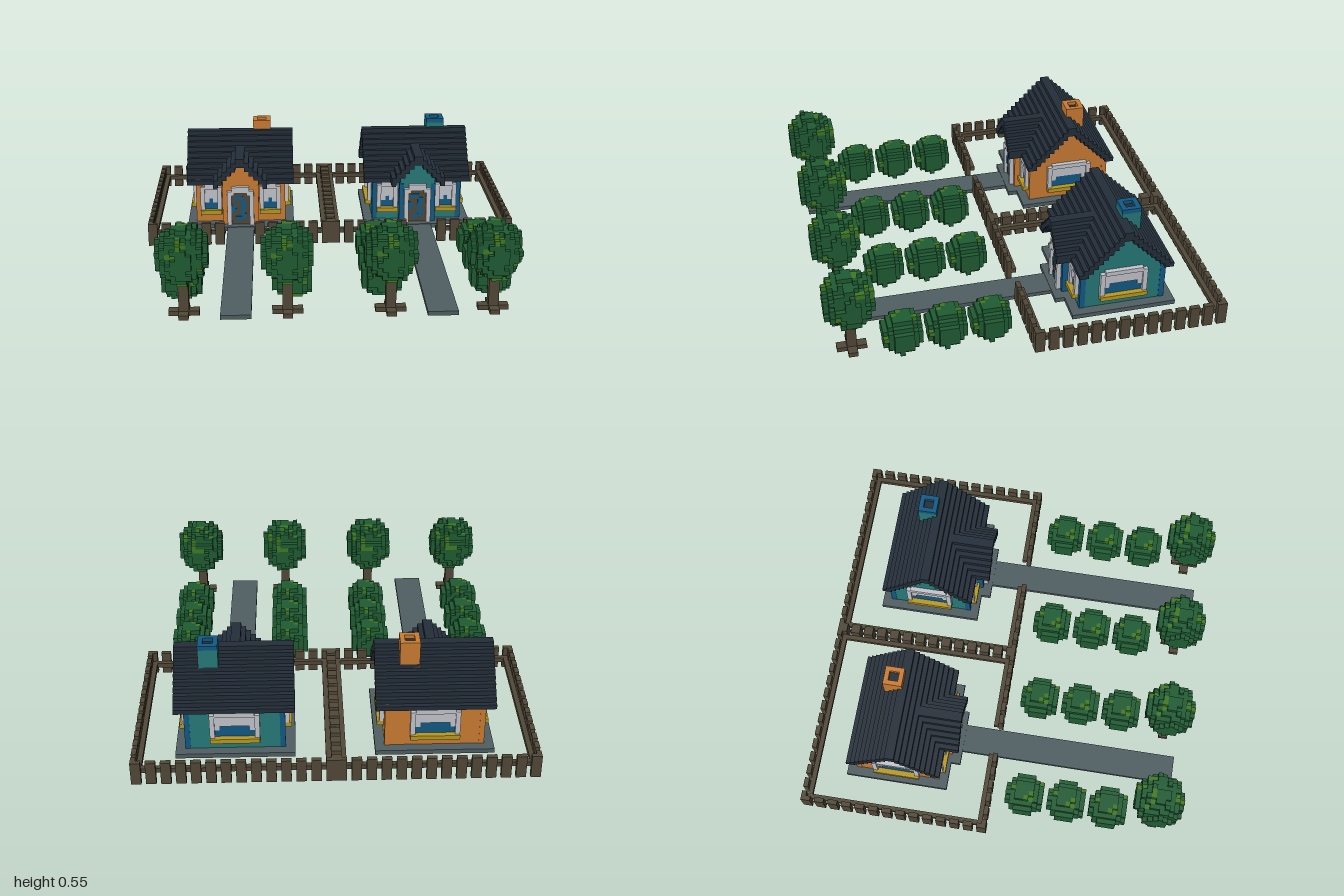
import * as THREE from 'three';
import { mergeGeometries } from 'three/addons/utils/BufferGeometryUtils.js';

const V = 0.025; // block size

const mat = (name, color) => {
  const m = new THREE.MeshStandardMaterial({ color });
  m.name = name;
  return m;
};
const M = {
  orange: mat('orange wall', 0xcb7c33),
  teal: mat('teal wall', 0x267a7a),
  blue: mat('blue', 0x125a85),
  white: mat('white trim', 0xc4c6cc),
  roof: mat('roof slate', 0x232e39),
  stone: mat('grey stone', 0x505e62),
  wood: mat('brown wood', 0x514838),
  leaf: mat('green leaf', 0x1f5c33),
  light: mat('light leaf', 0x3f7a24),
  yellow: mat('yellow', 0xb99a22),
};

function group(name, parent) {
  const g = new THREE.Group();
  g.name = name;
  if (parent) parent.add(g);
  return g;
}

// Box given by its limits on each axis
function box(parent, name, m, x0, x1, y0, y1, z0, z1) {
  const mesh = new THREE.Mesh(new THREE.BoxGeometry(x1 - x0, y1 - y0, z1 - z0), m);
  mesh.position.set((x0 + x1) / 2, (y0 + y1) / 2, (z0 + z1) / 2);
  mesh.name = name;
  parent.add(mesh);
  return mesh;
}

const hash = (x, y, z) => {
  const s = Math.sin(x * 12.9898 + y * 78.233 + z * 37.719) * 43758.5453;
  return s - Math.floor(s);
};

// Rough ball of blocks: outer faces only, sorted into main and light leaves
function foliage(nx, ny, rx, ry, lift) {
  const mid = (n, i) => i - (n - 1) / 2;
  const filled = (i, j, k) => {
    if (j < 0 || j >= ny || i < 0 || i >= nx || k < 0 || k >= nx) return false;
    const d = Math.hypot(mid(nx, i) / rx, (mid(ny, j) - lift) / ry, mid(nx, k) / rx);
    return d < 0.97 + (hash(i, j, k) - 0.5) * 0.16;
  };
  const turns = [[0, 0], [0, Math.PI / 2], [0, Math.PI], [0, -Math.PI / 2], [-Math.PI / 2, 0], [Math.PI / 2, 0]];
  const sides = [[0, 0, 1], [1, 0, 0], [0, 0, -1], [-1, 0, 0], [0, 1, 0], [0, -1, 0]];
  const faces = turns.map(([rX, rY]) =>
    new THREE.PlaneGeometry(V, V).translate(0, 0, V / 2).rotateX(rX).rotateY(rY));
  const lists = [[], []];
  for (let i = 0; i < nx; i++) for (let j = 0; j < ny; j++) for (let k = 0; k < nx; k++) {
    if (!filled(i, j, k)) continue;
    const patch = hash(i >> 1, j >> 1, (k >> 1) + 5) > 0.85 && hash(k, i, j) > 0.35;
    sides.forEach(([a, b, c], f) => {
      if (filled(i + a, j + b, k + c)) return;
      lists[patch ? 1 : 0].push(faces[f].clone().translate(mid(nx, i) * V, (j + 0.5) * V, mid(nx, k) * V));
    });
  }
  return lists.map((l) => (l.length ? mergeGeometries(l) : null));
}

function addFoliage(parent, geos, y) {
  geos.forEach((g, i) => {
    if (!g) return;
    const mesh = new THREE.Mesh(g, i ? M.light : M.leaf);
    mesh.name = i ? 'lightLeaves' : 'leaves';
    mesh.position.y = y;
    parent.add(mesh);
  });
}

// Window facing +z, with curtain, glass and flower box
function addWindow(parent, name, w, x, z, turn) {
  const g = group(name, parent), h = w / 2, f = V;
  g.position.set(x, 0, z);
  g.rotation.y = turn;
  box(g, 'frameTop', M.white, -h + f, h - f, 0.225, 0.25, 0, 0.025);
  for (const s of [-1, 1]) {
    const c = s * (h - f / 2);
    box(g, 'frameSide', M.white, c - f / 2, c + f / 2, 0.1, 0.235, 0, 0.022);
  }
  box(g, 'glass', M.blue, -h + f, h - f, 0.09, 0.225, 0, 0.006);
  box(g, 'curtain', M.white, -h + f, h - f, 0.165, 0.225, 0.006, 0.012);
  for (const s of [-1, 1]) {
    const c = s * (h - f * 1.5);
    box(g, 'curtainSide', M.white, c - f / 2, c + f / 2, 0.14, 0.17, 0.006, 0.011);
  }
  box(g, 'flowerBox', M.yellow, -h, h, 0.075, 0.1, 0, 0.035);
}

// Cottage centred on x = 0
function addHouse(parent, wall, trim) {
  const g = group('house', parent), Z = -0.525;

  // Stone footing around the walls
  const footing = group('footing', g);
  box(footing, 'footingBack', M.stone, -0.3, 0.3, 0, V, -0.8, -0.75);
  box(footing, 'footingFront', M.stone, -0.3, 0.3, 0, V, -0.3, -0.25);
  box(footing, 'footingPorch', M.stone, -0.15, 0.15, 0, V, -0.25, -0.2);
  for (const s of [-1, 1]) box(footing, 'footingSide', M.stone, s * 0.275 - V, s * 0.275 + V, 0, V, -0.75, -0.3);

  // Walls and corner posts
  box(g, 'walls', wall, -0.25, 0.25, 0, 0.275, -0.75, -0.3);
  box(g, 'porchWalls', wall, -0.1, 0.1, V, 0.275, -0.32, -0.25);
  for (const s of [-1, 1]) {
    for (const z of [-0.7375, -0.3125])
      box(g, 'cornerPost', trim, s * 0.2385 - 0.0135, s * 0.2385 + 0.0135, V, 0.275, z - 0.0145, z + 0.0145);
    box(g, 'porchPost', trim, s * 0.0895 - 0.0125, s * 0.0895 + 0.0125, V, 0.25, -0.285, -0.248);
  }

  // Stepped main roof with the gable filled in below it
  const roof = group('mainRoof', g);
  for (let i = 0; i < 10; i++) {
    const top = 0.5 - i * V, low = Math.max(top - 0.05, 0.25);
    for (const s of [-1, 1]) {
      const c = Z + s * (i + 0.5) * V;
      box(roof, 'roofStep', M.roof, -0.3, 0.3, low, top, c - V / 2, c + V / 2);
    }
    if (low > 0.275) box(g, 'gable', wall, -0.25, 0.25, low - V, low, Z - (i + 1) * V, Z + (i + 1) * V);
  }

  // Stepped porch roof running back into the main slope
  const porch = group('porchRoof', g);
  for (let i = 0; i < 6; i++) {
    const top = 0.425 - i * V, low = top - 0.05;
    for (const s of [-1, 1]) {
      const c = s * (i + 0.5) * V;
      box(porch, 'porchRoofStep', M.roof, c - V / 2, c + V / 2, low, top, -0.46 + i * V, -0.2);
    }
    if (i < 4) box(g, 'porchGable', wall, -(i + 1) * V, (i + 1) * V, low - V, low, -0.4, -0.25);
  }

  // Chimney with an open cap
  const chimney = group('chimney', g);
  box(chimney, 'stack', wall, 0.075, 0.175, 0.38, 0.525, -0.625, -0.525);
  box(chimney, 'flue', M.roof, 0.1, 0.15, 0.52, 0.53, -0.6, -0.55);
  for (const s of [-1, 1]) {
    box(chimney, 'capSide', trim, 0.125 + s * 0.0375 - V / 2, 0.125 + s * 0.0375 + V / 2, 0.525, 0.55, -0.625, -0.525);
    box(chimney, 'capEnd', trim, 0.1, 0.15, 0.525, 0.55, -0.575 + s * 0.0375 - V / 2, -0.575 + s * 0.0375 + V / 2);
  }

  // Door with a stepped white arch
  const door = group('door', g), z = -0.25;
  box(door, 'doorPanel', M.wood, -0.05, 0.05, V, 0.215, z, z + 0.008);
  for (const s of [-1, 1]) {
    box(door, 'jamb', M.white, s * 0.0625 - V / 2, s * 0.0625 + V / 2, V, 0.225, z, z + V);
    box(door, 'archCorner', M.white, s * 0.045 - 0.01, s * 0.045 + 0.01, 0.2, 0.225, z, z + V);
  }
  box(door, 'archTop', M.white, -0.05, 0.05, 0.215, 0.25, z, z + V);
  for (const [x, y, w, h] of [[-0.012, 0.18, 0.05, 0.025], [0.018, 0.15, 0.03, 0.04], [-0.038, 0.12, 0.025, 0.05],
    [0.012, 0.11, 0.025, 0.05], [0.02, 0.075, 0.03, 0.03], [-0.01, 0.06, 0.035, 0.025]])
    box(door, 'doorGlass', M.blue, x - w / 2, x + w / 2, y - h / 2, y + h / 2, z + 0.008, z + 0.012);

  // Windows on every side
  addWindow(g, 'backWindow', 0.25, 0, -0.75, Math.PI);
  for (const s of [-1, 1]) {
    addWindow(g, 'sideWindow', 0.25, s * 0.25, Z, s * Math.PI / 2);
    addWindow(g, 'frontWindow', 0.12, s * 0.167, -0.3, 0);
  }
}

// Picket fence, one unit square, with a gap for the path
function addFence(parent) {
  const g = group('fence', parent);
  for (let side = 0; side < 4; side++) {
    const f = group('fenceSide', g);
    f.position.z = -0.5;
    f.rotation.y = side * Math.PI / 2;
    for (let i = 0; i < 14; i++) {
      const x = -0.475 + i * 0.95 / 13;
      if (side === 0 && Math.abs(x) < 0.08) continue;
      box(f, 'picket', M.wood, x - V, x + V, 0, 0.125, 0.475, 0.5);
    }
    const spans = side === 0 ? [[-0.475, -0.08], [0.08, 0.475]] : [[-0.475, 0.475]];
    for (const [a, b] of spans) box(f, 'rail', M.wood, a, b, 0.05, 0.075, 0.45, 0.475);
  }
}

export function createModel() {
  const model = group('twoCottages');
  const canopy = foliage(10, 11, 5.3, 5.8, 0);
  const bush = foliage(8, 7, 4.3, 4.3, -0.5);

  for (const side of [-1, 1]) {
    const plot = group(side < 0 ? 'rightPlot' : 'leftPlot', model);
    plot.position.x = side * 0.5;
    addHouse(plot, side < 0 ? M.orange : M.teal, side < 0 ? M.orange : M.blue);
    addFence(plot);
    box(plot, 'path', M.stone, -0.075, 0.075, 0, 0.022, -0.2, 0.95);

    for (const s of [-1, 1]) {
      // Tree with a cross-shaped foot
      const tree = group('tree', plot);
      tree.position.set(s * 0.25, 0, 0.875);
      box(tree, 'trunk', M.wood, -V, V, 0, 0.25, -V, V);
      box(tree, 'rootAcross', M.wood, -0.075, 0.075, 0, V, -0.024, 0.024);
      box(tree, 'rootAlong', M.wood, -0.024, 0.024, 0, 0.024, -0.075, 0.075);
      addFoliage(tree, canopy, 0.175);
      // Row of bushes
      for (const z of [0.175, 0.4, 0.625]) {
        const b = group('bush', plot);
        b.position.set(s * 0.275, 0, z);
        addFoliage(b, bush, 0);
      }
    }
  }
  return model;
}
